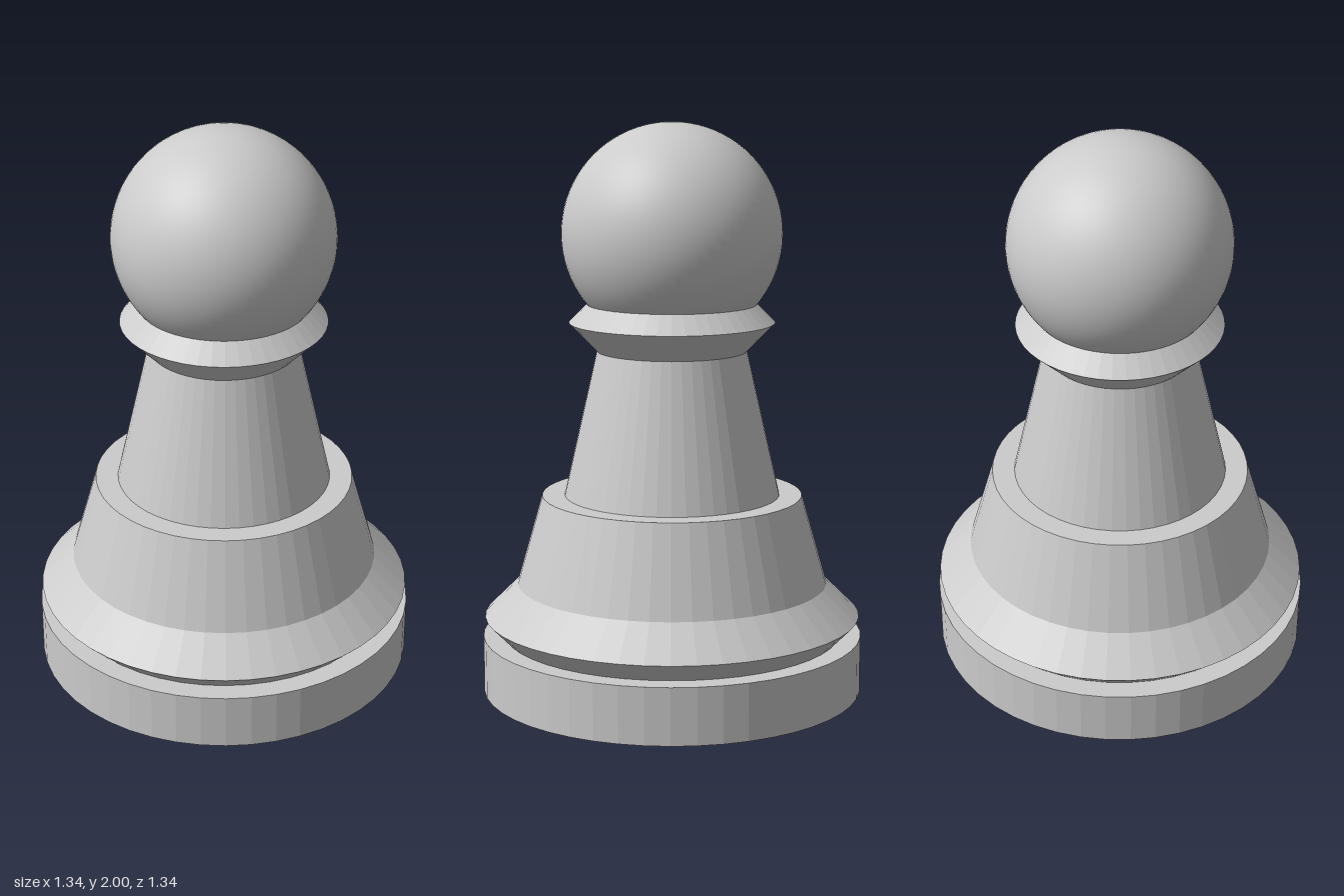
import * as THREE from 'three';

const SIDES = 48;
const faceted = new THREE.MeshStandardMaterial({ color: 0xcccccc, flatShading: true });
const smooth = new THREE.MeshStandardMaterial({ color: 0xcccccc });

// A turned, faceted part from [radius, height] pairs, listed bottom to top
function turned(name, profile) {
  const points = profile.map(([r, y]) => new THREE.Vector2(r, y));
  const mesh = new THREE.Mesh(new THREE.LatheGeometry(points, SIDES), faceted);
  mesh.name = name;
  return mesh;
}

export function createModel() {
  const pawn = new THREE.Group();
  pawn.name = 'pawn';

  // Flat disc the piece stands on
  pawn.add(turned('base', [[0, 0], [0.67, 0], [0.67, 0.2], [0, 0.2]]));

  // Bevelled ring flowing into the lower skirt
  pawn.add(turned('skirt', [[0.595, 0.2], [0.663, 0.27], [0.547, 0.385], [0.457, 0.7], [0, 0.7]]));

  // Tapered stem
  pawn.add(turned('stem', [[0.378, 0.7], [0.262, 1.21]]));

  // Double-bevelled collar under the head
  pawn.add(turned('collar', [[0, 1.21], [0.262, 1.21], [0.359, 1.31], [0.295, 1.375], [0, 1.375]]));

  // Round head
  const head = new THREE.Mesh(new THREE.SphereGeometry(0.383, 64, 40), smooth);
  head.name = 'head';
  head.position.y = 1.617;
  pawn.add(head);

  return pawn;
}
